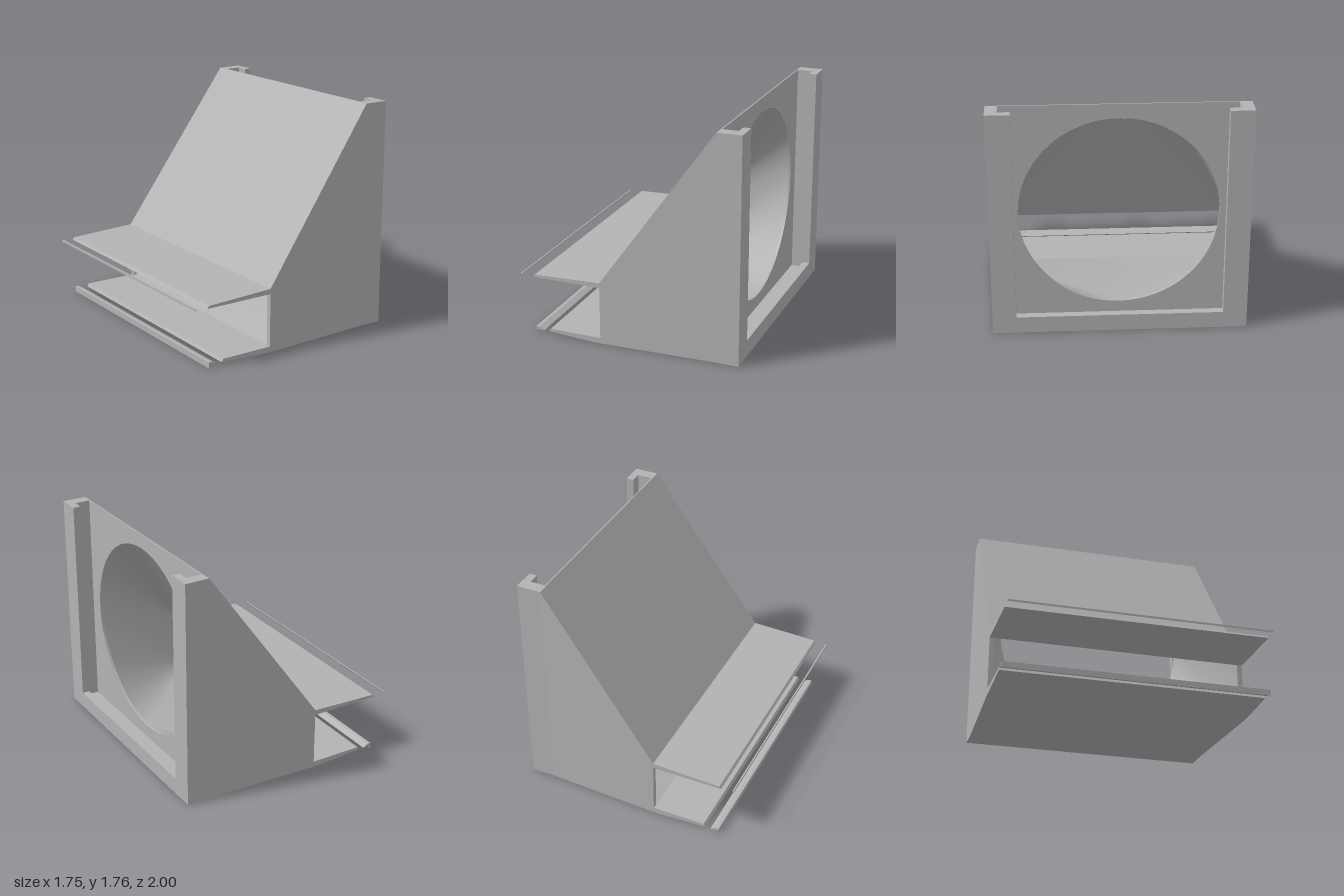
import * as THREE from 'three';
import { toCreasedNormals } from 'three/addons/utils/BufferGeometryUtils.js';

const BACK = -0.22, WALL = 0.69, FRONT = 0.87, TOP = 1.76;
const HOLE_Y = 0.9, HOLE_R = 0.75, DUCT_X = 0.67;

// Flat-faced surface from triangles and quads of [x, y, z] corners
function faces(list) {
  const p = [];
  for (const f of list) {
    for (let i = 1; i < f.length - 1; i++) p.push(...f[0], ...f[i], ...f[i + 1]);
  }
  const g = new THREE.BufferGeometry();
  g.setAttribute('position', new THREE.Float32BufferAttribute(p, 3));
  g.computeVertexNormals();
  return g;
}

const shapeOf = (pts) => new THREE.Shape(pts.map(([x, y]) => new THREE.Vector2(x, y)));
const extrude = (pts, depth) => new THREE.ExtrudeGeometry(shapeOf(pts), { depth, bevelEnabled: false });

export function createModel() {
  const model = new THREE.Group();
  const grey = new THREE.MeshStandardMaterial({ color: 0xb3b3b3, side: THREE.DoubleSide });
  grey.name = 'plastic grey';
  const add = (name, geometry) => {
    const mesh = new THREE.Mesh(geometry, grey);
    mesh.name = name;
    model.add(mesh);
    return mesh;
  };
  const box = (name, x0, x1, y0, y1, halfZ) => add(name,
    new THREE.BoxGeometry(x1 - x0, y1 - y0, halfZ * 2)
      .translate((x0 + x1) / 2, (y0 + y1) / 2, 0));

  // Tapered outer skin: sloping roof, floor, and the two side walls
  const W = 1, N = 0.96, S = 0.68, H = 0.495;
  add('slopingRoof', faces([
    [[BACK, H, W], [S, TOP, N], [S, TOP, -N], [BACK, H, -W]],
    [[S, TOP, N], [WALL, TOP, N], [WALL, TOP, -N], [S, TOP, -N]],
  ]));
  add('floor', faces([
    [[BACK, 0, W], [BACK, 0, -W], [S, 0, -N], [S, 0, N]],
    [[S, 0, N], [S, 0, -N], [WALL, 0, -N], [WALL, 0, N]],
  ]));
  for (const s of [1, -1]) {
    const side = [
      [[BACK, 0, W * s], [S, 0, N * s], [S, TOP, N * s], [BACK, H, W * s]],
      [[S, 0, N * s], [WALL, 0, N * s], [WALL, TOP, N * s], [S, TOP, N * s]],
      [[BACK, 0, N * s], [BACK, 0, W * s], [BACK, H, W * s], [BACK, H, N * s]],
    ];
    if (s < 0) side.forEach((f) => f.reverse());
    add(s > 0 ? 'leftSideWall' : 'rightSideWall', faces(side));
  }

  // Duct blending the round opening into the wide rectangular one
  const corners = [[BACK, 0.455, N], [BACK, 0.455, -N], [BACK, 0.045, -N], [BACK, 0.045, N]];
  const ring = (a) => [DUCT_X, HOLE_Y + HOLE_R * Math.sin(a), HOLE_R * Math.cos(a)];
  const duct = [];
  const steps = 24;
  for (let k = 0; k < 4; k++) {
    const a0 = k * Math.PI / 2;
    for (let i = 0; i < steps; i++) {
      const a = a0 + i / steps * Math.PI / 2, b = a0 + (i + 1) / steps * Math.PI / 2;
      duct.push([ring(b), ring(a), corners[k]]);
    }
    duct.push([ring(a0), corners[(k + 3) % 4], corners[k]]);
  }
  add('duct', toCreasedNormals(faces(duct), 0.4));
  add('openingRim', new THREE.CylinderGeometry(HOLE_R, HOLE_R, WALL - DUCT_X, 96, 1, true)
    .rotateZ(Math.PI / 2).translate((WALL + DUCT_X) / 2, HOLE_Y, 0));

  // Wall with the round opening
  const wall = shapeOf([[-0.87, 0.05], [0.87, 0.05], [0.87, TOP], [-0.87, TOP]]);
  const hole = new THREE.Path();
  hole.absarc(0, HOLE_Y, HOLE_R, 0, Math.PI * 2, true);
  wall.holes.push(hole);
  add('openingWall', new THREE.ShapeGeometry(wall, 96).rotateY(Math.PI / 2).translate(WALL, 0, 0));

  // Slot that holds a panel: two hooked jambs, a floor and a sill
  for (const s of [1, -1]) {
    const jamb = [[WALL, N], [FRONT, N], [FRONT, 0.78], [0.81, 0.78], [0.81, 0.87], [WALL, 0.87]];
    add(s > 0 ? 'leftJamb' : 'rightJamb',
      extrude(jamb.map(([x, z]) => [x, z * s]), TOP).rotateX(-Math.PI / 2));
  }
  box('slotFloor', WALL, 0.81, 0, 0.05, 0.87);
  box('sill', 0.81, FRONT, 0, 0.13, 0.78);

  // Lips and loose strips running the full width
  const strips = {
    upperLip: [[BACK, 0.455], [BACK, H], [-0.76, 0.475], [-0.775, 0.455]],
    lowerLip: [[BACK, 0], [BACK, 0.045], [-0.638, 0.045], [-0.652, 0.022], [-0.28, 0]],
    upperStrip: [[-0.875, 0.455], [-0.864, 0.471], [-0.875, 0.471]],
    lowerStrip: [[-0.763, 0], [-0.757, 0.022], [-0.695, 0.022], [-0.738, 0.045], [-0.763, 0.045]],
  };
  for (const [name, pts] of Object.entries(strips)) add(name, extrude(pts, 2).translate(0, 0, -1));

  return model;
}
